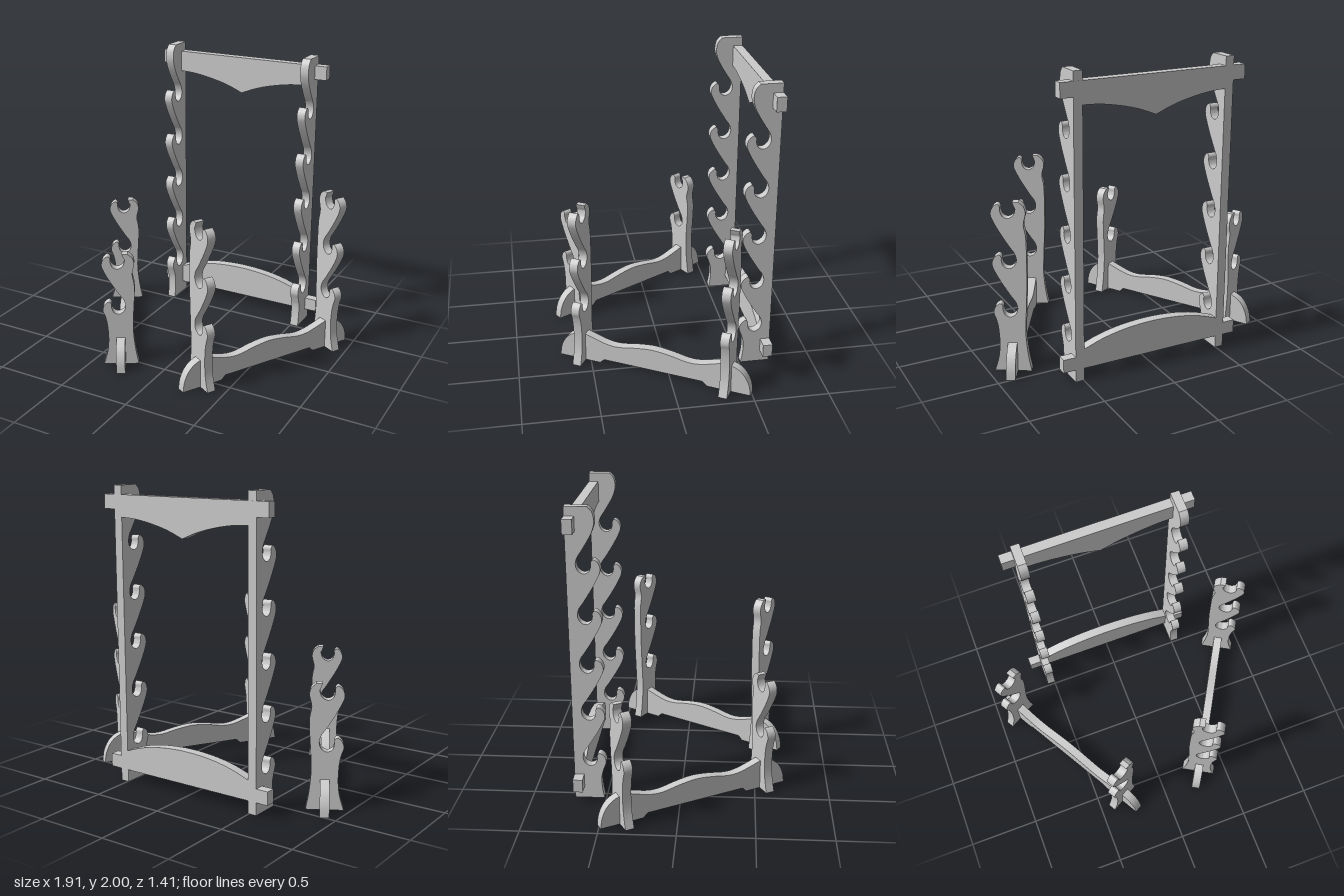
import * as THREE from 'three';
import { toCreasedNormals } from 'three/addons/utils/BufferGeometryUtils.js';

const STEP = 1 / 3; // vertical spacing of the hooks
const material = new THREE.MeshStandardMaterial({ color: 0xcccccc });
const vecs = (list) => list.map(([x, y]) => new THREE.Vector2(x, y));

// Extrude a shape, centred on its own thickness
function slab(name, shape, thickness) {
  let g = new THREE.ExtrudeGeometry(shape, { depth: thickness, bevelEnabled: false, curveSegments: 3 });
  g.translate(0, 0, -thickness / 2);
  g = toCreasedNormals(g, 0.6);
  const mesh = new THREE.Mesh(g, material);
  mesh.name = name;
  return mesh;
}

// Smooth curve with a density that follows the number of points
function spline(shape, points) {
  const curve = new THREE.SplineCurve([shape.currentPoint.clone(), ...vecs(points)]);
  curve.getPoints(points.length * 4).slice(1).forEach((p) => shape.lineTo(p.x, p.y));
}

// Hook outline, relative to the hook tip: bulge, long neck, then the notch below
const BULGE = [[0.075, 0], [0.105, -0.025], [0.115, -0.065], [0.1, -0.11]];
const NECK = [[0.06, -0.185], [0.004, -0.275], [-0.027, -0.32]];
const NOTCH = [[-0.039, -0.365], [-0.025, -0.405], [0.01, -0.425], [0.043, -0.41], [0.056, -0.375], [0.056, -0.35]];
const at = (list, y) => list.map(([x, dy]) => [x, y + dy]);

// Run of hooks from the highest tip down to the lowest one
function hooks(topTip, count) {
  const out = [];
  for (let i = 0; i < count; i++) {
    const y = topTip - i * STEP;
    out.push(...at(BULGE, y));
    if (i < count - 1) out.push(...at(NECK, y), ...at(NOTCH, y));
  }
  return out;
}

// Tall post: straight back, rounded head, five hooks
function tallPost() {
  const s = new THREE.Shape();
  s.moveTo(-0.1, 0);
  s.lineTo(-0.1, 2);
  s.lineTo(0.045, 2);
  spline(s, [
    [0.075, 1.965], [0.085, 1.905], [0.072, 1.85], [0.045, 1.795], [0.002, 1.725], [-0.027, 1.68],
    ...at(NOTCH, 2),
    ...hooks(2 - STEP, 5),
    [0.083, 0.16], [0.084, 0.08], [0.097, 0],
  ]);
  s.closePath();
  return slab('tallPost', s, 0.06);
}

// Short post: flared foot, wavy back, hooks and an open cup on top
function shortPost(tiers) {
  const tip = 0.473 + (tiers - 1) * STEP;
  const s = new THREE.Shape();
  s.moveTo(-0.12, 0);
  const back = [[-0.1, 0.11], [-0.087, 0.25], [-0.09, 0.36]];
  for (let i = 1; i < tiers; i++) {
    const y = 0.473 + (i - 1) * STEP;
    if (i === tiers - 1) back.push([-0.102, y + 0.1], [-0.088, y + 0.2]);
    else back.push([-0.098, y + 0.06], [-0.102, y + 0.18]);
  }
  spline(s, [...back, [-0.103, tip - 0.06], [-0.092, tip - 0.015], [-0.06, tip + 0.015]]);
  s.lineTo(-0.022, tip + 0.015);
  spline(s, [
    [-0.032, tip - 0.012],
    ...at(NOTCH, tip + STEP),
    ...hooks(tip, tiers),
    [0.088, 0.3], [0.083, 0.2], [0.092, 0.1], [0.12, 0],
  ]);
  s.closePath();
  return slab('shortPost', s, 0.06);
}

// Wavy floor beam with rounded ends and two feet
function floorBeam() {
  const s = new THREE.Shape();
  s.moveTo(-0.685, 0);
  spline(s, [[-0.675, 0.07], [-0.645, 0.135], [-0.6, 0.18], [-0.54, 0.206]]);
  s.lineTo(-0.485, 0.206);
  spline(s, [[-0.4, 0.178], [-0.32, 0.158], [-0.24, 0.156], [-0.12, 0.178], [0, 0.19],
    [0.12, 0.178], [0.24, 0.156], [0.32, 0.158], [0.4, 0.178], [0.485, 0.206]]);
  s.lineTo(0.54, 0.206);
  spline(s, [[0.6, 0.18], [0.645, 0.135], [0.675, 0.07], [0.685, 0]]);
  s.lineTo(0.385, 0);
  s.lineTo(0.355, 0.03);
  s.lineTo(-0.355, 0.03);
  s.lineTo(-0.385, 0);
  s.closePath();
  return slab('floorBeam', s, 0.06);
}

// Crossbars end in narrow tenons that pass through the tall posts
function topBar() {
  const s = new THREE.Shape();
  s.setFromPoints(vecs([[-0.495, 1.845], [-0.64, 1.845], [-0.64, 1.94], [0.64, 1.94], [0.64, 1.845], [0.495, 1.845], [0.495, 1.795]]));
  spline(s, [[0.38, 1.788], [0.25, 1.766], [0.12, 1.732], [0, 1.685]]);
  spline(s, [[-0.12, 1.732], [-0.25, 1.766], [-0.38, 1.788], [-0.495, 1.795]]);
  s.closePath();
  return slab('topBar', s, 0.065);
}

function bottomBar() {
  const s = new THREE.Shape();
  s.setFromPoints(vecs([[0.495, 0.175], [0.64, 0.175], [0.64, 0.085], [-0.64, 0.085], [-0.64, 0.175], [-0.495, 0.175], [-0.495, 0.22]]));
  spline(s, [[-0.375, 0.262], [-0.25, 0.29], [-0.125, 0.305], [0, 0.31],
    [0.125, 0.305], [0.25, 0.29], [0.375, 0.262], [0.495, 0.22]]);
  s.closePath();
  return slab('bottomBar', s, 0.065);
}

// Low stand: two posts across a floor beam, hooks facing local +x
function lowStand(name, tiers) {
  const g = new THREE.Group();
  g.name = name;
  for (const z of [-0.522, 0.522]) {
    const p = shortPost(tiers);
    p.position.z = z;
    g.add(p);
  }
  const beam = floorBeam();
  beam.rotation.y = -Math.PI / 2;
  g.add(beam);
  return g;
}

export function createModel() {
  const model = new THREE.Group();
  model.name = 'displayRacks';

  // Tall rear rack
  const rack = new THREE.Group();
  rack.name = 'tallRack';
  for (const x of [-0.525, 0.525]) {
    const p = tallPost();
    p.rotation.y = -Math.PI / 2;
    p.position.set(x, 0, -0.61);
    rack.add(p);
  }
  for (const bar of [topBar(), bottomBar()]) {
    bar.position.z = -0.678;
    rack.add(bar);
  }
  model.add(rack);

  // Angled low stands on both sides
  const left = lowStand('leftStand', 3);
  left.position.set(0.573, 0, 0.093);
  left.rotation.y = -Math.PI / 6;
  const right = lowStand('rightStand', 2);
  right.position.set(-0.578, 0, 0.093);
  right.rotation.y = (-5 * Math.PI) / 6;
  model.add(left, right);
  return model;
}
